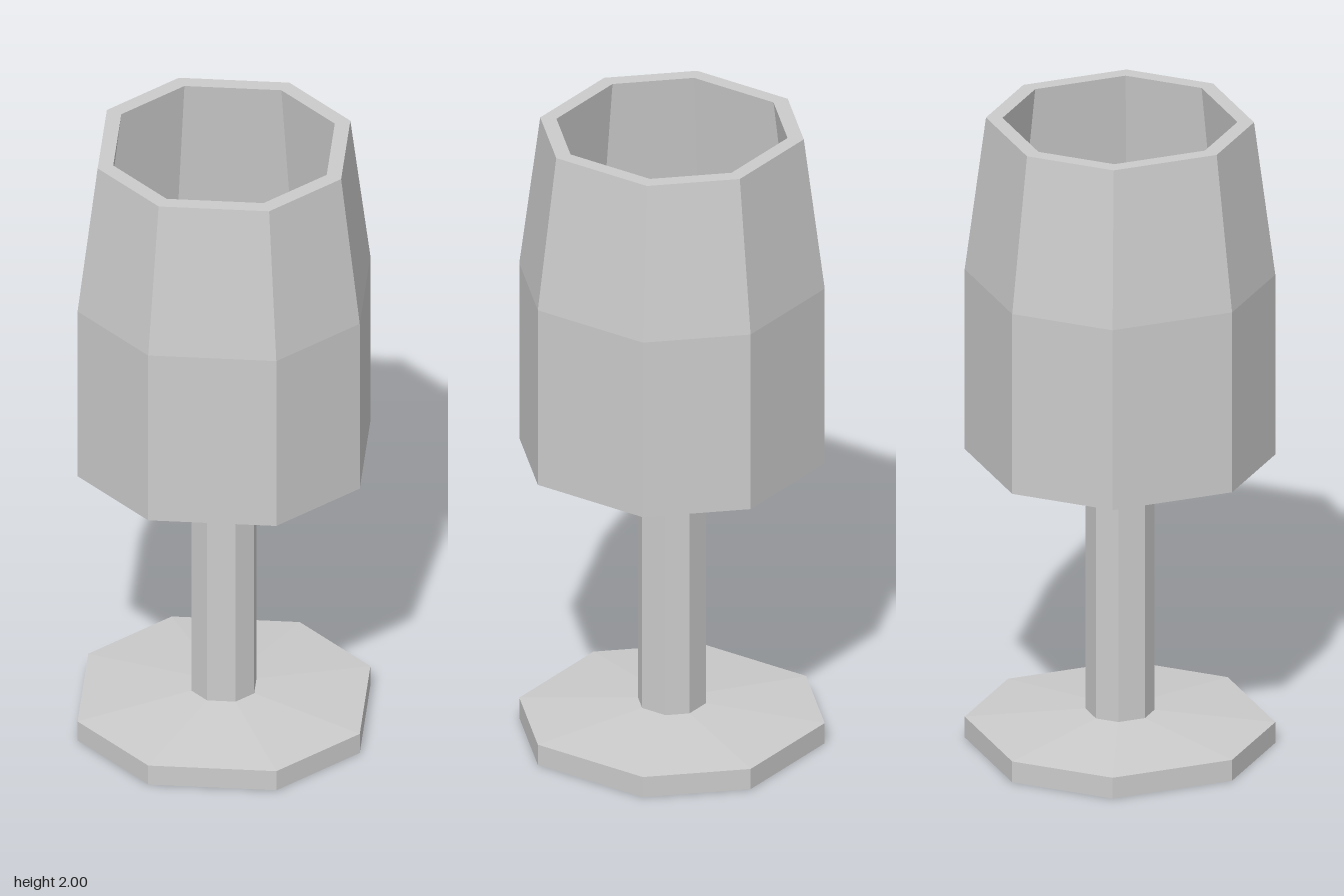
import * as THREE from 'three';

const material = new THREE.MeshStandardMaterial({ color: 0xcccccc, flatShading: true });
const CORNER = 0.454; // half width of a straight side, relative to its distance from the axis

// Eight-sided turned part; profile points are [distance of side from axis, height]
function octagonPart(name, profile) {
  const points = profile.map(([r, y]) => new THREE.Vector2(r, y));
  let geometry = new THREE.LatheGeometry(points, 8, Math.PI / 8);
  const pos = geometry.attributes.position;
  // Stretch the straight sides slightly wider than the diagonal ones
  for (let i = 0; i < pos.count; i++) {
    const x = pos.getX(i), z = pos.getZ(i);
    const r = profile[i % profile.length][0];
    const wideX = Math.abs(x) > Math.abs(z);
    pos.setX(i, Math.sign(x) * r * (wideX ? 1 : CORNER));
    pos.setZ(i, Math.sign(z) * r * (wideX ? CORNER : 1));
  }
  geometry = geometry.toNonIndexed();
  geometry.computeVertexNormals();
  const mesh = new THREE.Mesh(geometry, material);
  mesh.name = name;
  return mesh;
}

export function createModel() {
  const goblet = new THREE.Group();
  goblet.name = 'goblet';

  // Foot: flat underside, low rim and a shallow slope up to the stem
  goblet.add(octagonPart('foot', [[0, 0], [0.423, 0], [0.423, 0.067], [0.094, 0.1]]));

  // Stem
  goblet.add(octagonPart('stem', [[0.094, 0.1], [0.094, 0.853]]));

  // Bowl: outside upwards, over the rim, then down the inside to a flat floor
  goblet.add(octagonPart('bowl', [
    [0.094, 0.853], [0.423, 0.93], [0.423, 1.51], [0.365, 2],
    [0.32, 2], [0.375, 1.51], [0.375, 0.97], [0, 0.97],
  ]));

  return goblet;
}
